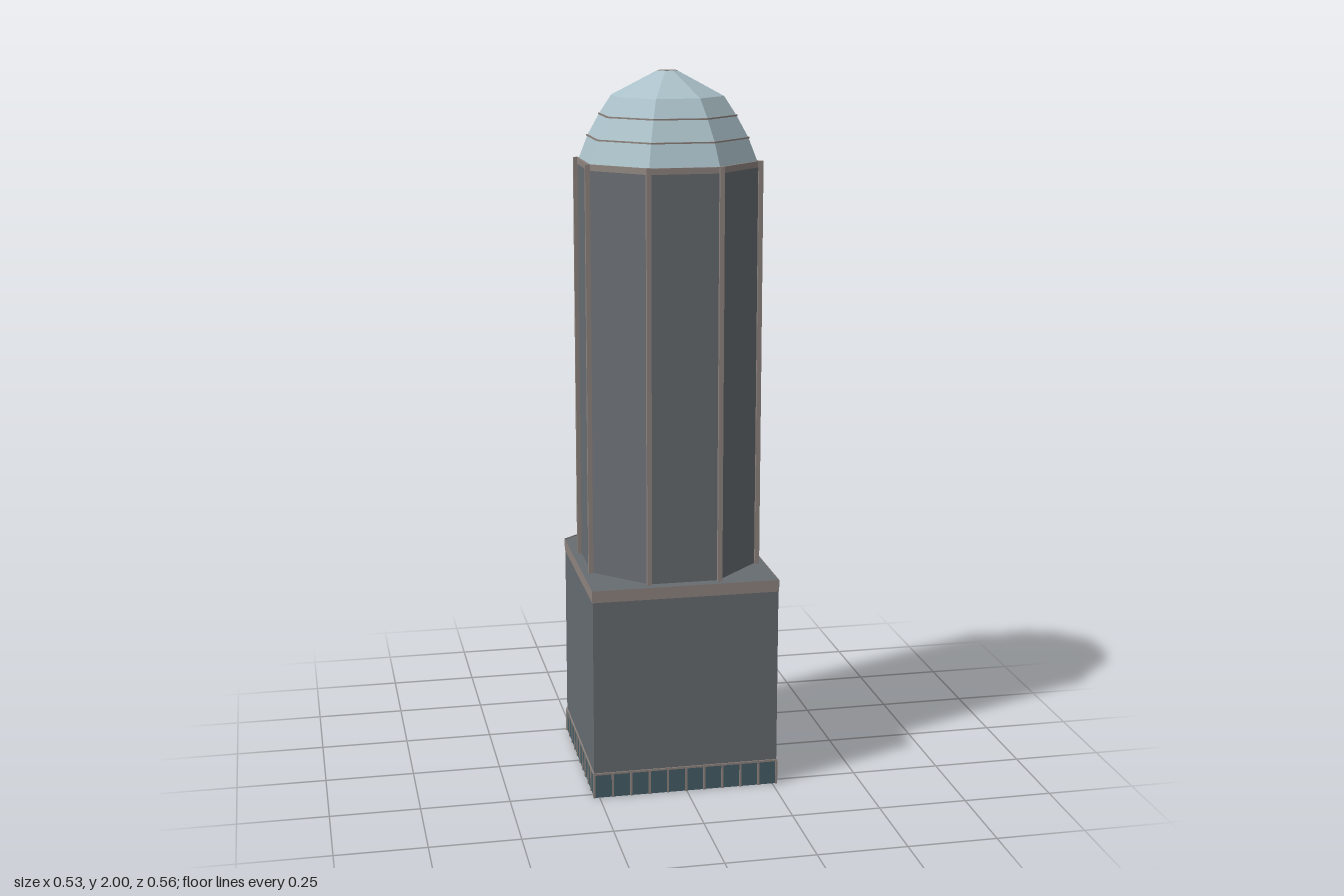
import * as THREE from 'three';

const paint = (name, color) => {
  const m = new THREE.MeshStandardMaterial({ color, side: THREE.DoubleSide });
  m.name = name;
  return m;
};

export function createModel() {
  const stone = paint('grey wall', 0x676c71);
  const trim = paint('taupe trim', 0x8f8580);
  const glass = paint('dark glass', 0x465e68);
  const domeGlass = paint('pale blue glass', 0xabc1c9);

  const model = new THREE.Group();
  model.name = 'tower';

  const add = (name, geometry, material, x = 0, y = 0, z = 0, turn = 0) => {
    const mesh = new THREE.Mesh(geometry, material);
    mesh.name = name;
    mesh.position.set(x, y, z);
    mesh.rotation.y = turn;
    model.add(mesh);
    return mesh;
  };

  // Podium plan, with one corner cut off
  const plan = [[-0.262, -0.24], [-0.218, -0.279], [0.262, -0.28], [0.261, 0.276], [-0.265, 0.275]];

  // Upright band that follows the plan
  const band = (y0, y1, scale = 1) => {
    const pos = [];
    plan.forEach((a, i) => {
      const b = plan[(i + 1) % plan.length];
      const corner = (p, y) => [p[0] * scale, y, p[1] * scale];
      const [a0, b0, b1, a1] = [corner(a, y0), corner(b, y0), corner(b, y1), corner(a, y1)];
      pos.push(...b0, ...a0, ...a1, ...b0, ...a1, ...b1);
    });
    const g = new THREE.BufferGeometry();
    g.setAttribute('position', new THREE.Float32BufferAttribute(pos, 3));
    g.computeVertexNormals();
    return g;
  };

  // Flat-sided octagonal surface from [apothem, y] points
  const octagon = (profile) => {
    const pts = profile.map(([r, y]) => new THREE.Vector2(r / Math.cos(Math.PI / 8), y));
    const g = new THREE.LatheGeometry(pts, 8, Math.PI / 8).toNonIndexed();
    g.computeVertexNormals();
    return g;
  };

  // Podium, open underneath
  add('shopfrontGlass', band(0, 0.07), glass);
  add('podiumWalls', band(0.07, 0.575), stone);
  add('podiumCornice', band(0.575, 0.609, 1.006), trim);
  const roof = new THREE.ShapeGeometry(new THREE.Shape(plan.map(([x, z]) => new THREE.Vector2(x * 1.006, -z * 1.006))));
  roof.rotateX(-Math.PI / 2);
  add('podiumRoof', roof, stone, 0, 0.606);

  // Shopfront mullions and head rail
  plan.forEach(([ax, az], i) => {
    const [bx, bz] = plan[(i + 1) % plan.length];
    const length = Math.hypot(bx - ax, bz - az);
    const turn = -Math.atan2(bz - az, bx - ax);
    const bays = Math.max(1, Math.round(length / 0.052));
    for (let k = 0; k < bays; k++) {
      const t = k / bays;
      add('shopfrontMullion', new THREE.BoxGeometry(0.006, 0.07, 0.006), trim,
        ax + (bx - ax) * t, 0.035, az + (bz - az) * t, turn);
    }
    add('shopfrontRail', new THREE.BoxGeometry(length, 0.006, 0.006), trim,
      (ax + bx) / 2, 0.071, (az + bz) / 2, turn);
  });

  // Octagonal shaft with a post at each corner
  add('shaftWalls', octagon([[0.236, 0.606], [0.236, 1.745]]), stone);
  add('shaftTopTrim', octagon([[0.236, 1.74], [0.238, 1.74], [0.238, 1.757], [0.23, 1.757]]), trim);
  for (const sx of [-1, 1]) {
    for (const sz of [-1, 1]) {
      for (const [x, z] of [[0.1, 0.241], [0.241, 0.1]]) {
        add('shaftPost', new THREE.BoxGeometry(0.013, 1.152, 0.013), trim, sx * x, 1.182, sz * z);
      }
    }
  }

  // Tiered glass dome
  add('domeTiers', octagon([[0.232, 1.757], [0.209, 1.82], [0.178, 1.88], [0.146, 1.932]]), domeGlass);
  add('domeCap', octagon([[0.146, 1.932], [0.025, 2]]), domeGlass);
  for (const [r, y] of [[0.209, 1.82], [0.178, 1.88]]) {
    add('domeRing', octagon([[r - 0.002, y - 0.002], [r + 0.003, y - 0.002], [r + 0.003, y + 0.002], [r - 0.003, y + 0.002]]), trim);
  }
  add('domeFinial', octagon([[0.026, 1.998], [0.026, 2], [0, 2]]), trim);

  return model;
}
